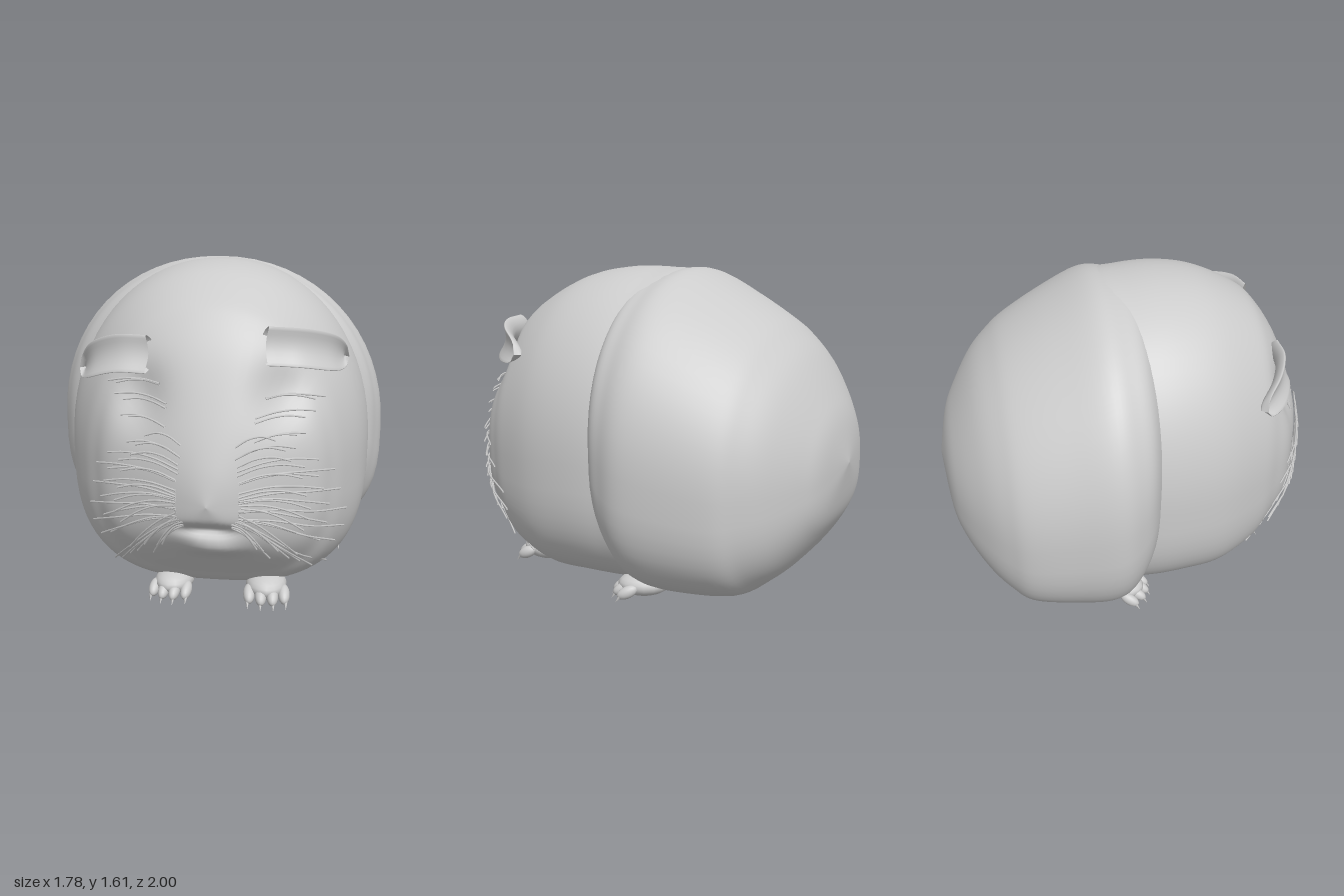
import * as THREE from 'three';

const fur = new THREE.MeshStandardMaterial({ color: 0xcccccc, side: THREE.DoubleSide });
fur.name = 'pale grey';

// Closed skin through rings of points; at(u, angle) gives each point
function skin(name, rings, sides, at) {
  const pos = [], idx = [];
  for (let i = 0; i <= rings; i++)
    for (let j = 0; j < sides; j++) pos.push(...at(i / rings, (j / sides) * Math.PI * 2));
  for (let i = 0; i < rings; i++)
    for (let j = 0; j < sides; j++) {
      const k = (j + 1) % sides;
      const a = i * sides + j, b = i * sides + k;
      idx.push(a, a + sides, b, b, a + sides, b + sides);
    }
  const g = new THREE.BufferGeometry();
  g.setAttribute('position', new THREE.Float32BufferAttribute(pos, 3));
  g.setIndex(idx);
  g.computeVertexNormals();
  const m = new THREE.Mesh(g, fur);
  m.name = name;
  return m;
}

// Smooth interpolation through rows of numbers
function sample(rows, u) {
  const t = u * (rows.length - 1), i = Math.min(Math.floor(t), rows.length - 2), f = t - i;
  const row = (k) => rows[Math.max(0, Math.min(rows.length - 1, k))];
  return rows[i].map((p1, c) => {
    const p0 = row(i - 1)[c], p2 = row(i + 1)[c], p3 = row(i + 2)[c];
    return p1 + 0.5 * f * (p2 - p0 + f * (2 * p0 - 5 * p1 + 4 * p2 - p3 + f * (3 * (p1 - p2) + p3 - p0)));
  });
}

// Cross-section: round above, squarer below
function section([, x0, x1, y0, y1], a) {
  const c = Math.cos(a), s = Math.sin(a), n = s > 0 ? 2.1 : 3;
  const pow = (v) => Math.sign(v) * Math.abs(v) ** (2 / n);
  const mid = y0 + 0.43 * (y1 - y0);
  return [(x0 + x1) / 2 + ((x1 - x0) / 2) * pow(c), mid + (s > 0 ? y1 - mid : mid - y0) * pow(s)];
}

// Rows: z, right x, left x, bottom y, top y
const FRONT = [
  [1.0, 0.1, 0.1, 0.59, 0.59], [0.97, 0.0, 0.21, 0.49, 0.75], [0.9, -0.17, 0.37, 0.38, 0.97],
  [0.8, -0.38, 0.56, 0.27, 1.22], [0.7, -0.48, 0.64, 0.17, 1.38], [0.6, -0.56, 0.7, 0.08, 1.47],
  [0.4, -0.67, 0.78, 0.02, 1.57], [0.2, -0.72, 0.81, 0.02, 1.61], [0.0, -0.73, 0.8, 0.02, 1.61],
  [-0.2, -0.68, 0.74, 0.02, 1.58], [-0.4, -0.5, 0.5, 0.1, 1.4], [-0.55, 0, 0, 0.8, 0.8],
];
const REAR = [
  [0.14, 0, 0, 0.85, 0.85], [0.1, -0.5, 0.55, 0.42, 1.4], [0.02, -0.75, 0.79, 0.25, 1.56],
  [-0.08, -0.85, 0.86, 0.08, 1.6], [-0.2, -0.89, 0.89, 0.015, 1.6], [-0.4, -0.85, 0.86, 0.01, 1.5],
  [-0.6, -0.79, 0.8, 0.03, 1.38], [-0.7, -0.72, 0.73, 0.09, 1.3], [-0.8, -0.61, 0.63, 0.18, 1.19],
  [-0.9, -0.45, 0.47, 0.32, 1.02], [-0.96, -0.28, 0.32, 0.45, 0.88], [-1.0, 0.03, 0.03, 0.68, 0.68],
];
// Soft dents and bumps of the face: x, y, spread x, spread y, depth
const FACE = [
  [-0.24, 1.04, 0.12, 0.14, -0.07], [0.43, 1.07, 0.12, 0.14, -0.07],
  [0.1, 0.46, 0.13, 0.03, -0.05], [0.13, 0.36, 0.12, 0.05, 0.04],
];

function frontBody() {
  return skin('headAndShoulders', 88, 72, (u, a) => {
    const r = sample(FRONT, u), [x, y] = section(r, a);
    let z = r[0];
    if (z > 0.4)
      for (const [fx, fy, sx, sy, d] of FACE)
        z += d * Math.min(1, (z - 0.4) * 5) * Math.exp(-(((x - fx) / sx) ** 2) - ((y - fy) / sy) ** 2);
    return [x, y, z];
  });
}

function rearBody() {
  return skin('haunches', 66, 64, (u, a) => {
    const r = sample(REAR, u);
    return [...section(r, a), r[0]];
  });
}

// Thick leaf that bends back along a curve, with a curled lower edge
function ear(name, side, points) {
  const curve = new THREE.CatmullRomCurve3(points.map((p) => new THREE.Vector3(...p)));
  return skin(name, 20, 20, (u, a) => {
    const p = curve.getPoint(u), c = Math.cos(a), s = Math.sin(a);
    const end = Math.sqrt(Math.max(0, 1 - u ** 6));
    const w = 0.085 * end, t = 0.022 * end * s + 0.04 * c * c - 0.02;
    return [p.x + side * 0.6 * t, p.y + w * c, p.z + 0.8 * t - 0.25 * w * c];
  });
}

function ball(parent, name, p, s, rx = 0) {
  const m = new THREE.Mesh(new THREE.SphereGeometry(1, 16, 12), fur);
  m.name = name;
  m.position.set(...p);
  m.scale.set(...s);
  m.rotation.x = rx;
  parent.add(m);
}

function foot(name, x, z, turn, size) {
  const g = new THREE.Group();
  g.name = name;
  ball(g, 'paw', [0, 0.075, -0.04], [0.095, 0.06, 0.13]);
  for (let i = 0; i < 4; i++) {
    const k = i - 1.5, tz = 0.075 - Math.abs(k) * 0.022;
    ball(g, 'toe', [k * 0.053, 0.055, tz], [0.027, 0.03, 0.055], 0.45);
    const claw = new THREE.Mesh(new THREE.ConeGeometry(0.012, 0.05, 8), fur);
    claw.name = 'claw';
    claw.position.set(k * 0.058, 0.025, tz + 0.045);
    claw.rotation.x = 2.5;
    g.add(claw);
  }
  g.position.set(x, 0, z);
  g.rotation.y = turn;
  g.scale.setScalar(size);
  return g;
}

// Bent hairs laid just above the face; rows: root x, root y, tip x, tip y
function hairs(name, face, rows, copies, drop) {
  const g = new THREE.Group(), ray = new THREE.Raycaster();
  g.name = name;
  const place = (x, y, lift) => {
    ray.set(new THREE.Vector3(x, y, 3), new THREE.Vector3(0, 0, -1));
    const hit = ray.intersectObject(face)[0];
    return new THREE.Vector3(x, y, (hit ? hit.point.z : 0.55) + lift);
  };
  rows.forEach(([x0, y0, x1, y1], r) => {
    for (let c = 0; c < copies; c++) {
      const wob = Math.sin(r * 7.3 + c * 4.1) * 0.02, len = 1 - 0.17 * c;
      const pts = [0, 0.33, 0.67, 1].map((t) => {
        const q = t * len;
        return place(x0 + (x1 - x0) * q,
          y0 + (y1 - y0) * q + drop * Math.sin(Math.PI * t) + wob + c * 0.016, 0.008 + 0.025 * t);
      });
      const m = new THREE.Mesh(new THREE.TubeGeometry(new THREE.CatmullRomCurve3(pts), 10, 0.0045, 5), fur);
      m.name = 'hair';
      g.add(m);
    }
  });
  return g;
}

export function createModel() {
  const model = new THREE.Group();
  model.name = 'rodent';
  const face = frontBody();
  face.updateMatrixWorld();
  model.add(face, rearBody());

  model.add(
    ear('leftEar', 1, [[0.33, 1.27, 0.74], [0.48, 1.26, 0.71], [0.61, 1.23, 0.62], [0.69, 1.19, 0.49]]),
    ear('rightEar', -1, [[-0.2, 1.22, 0.74], [-0.34, 1.22, 0.73], [-0.47, 1.18, 0.67], [-0.56, 1.12, 0.57]]),
  );

  model.add(
    foot('rightFrontFoot', -0.12, 0.64, -0.1, 1),
    foot('leftFrontFoot', 0.34, 0.64, 0.1, 1.05),
    foot('rightHindFoot', -0.54, -0.1, -0.5, 1),
    foot('leftHindFoot', 0.56, -0.1, 0.5, 1),
  );

  // Whiskers fan out from each side of the muzzle
  const fan = [
    [0.12, 0.8, 0.38, 0.84], [0.13, 0.73, 0.48, 0.76], [0.14, 0.68, 0.55, 0.69], [0.14, 0.62, 0.58, 0.6],
    [0.14, 0.58, 0.61, 0.5], [0.14, 0.55, 0.6, 0.41], [0.15, 0.53, 0.56, 0.33], [0.14, 0.51, 0.52, 0.15],
    [0.13, 0.5, 0.4, 0.24], [0.11, 0.48, 0.27, 0.3],
  ];
  const lashes = [[0.2, 0.87, 0.42, 0.9], [0.2, 0.95, 0.46, 0.97], [0.24, 1.03, 0.5, 1.02]];
  for (const [name, s] of [['left', 1], ['right', -1]]) {
    const flip = ([a, b, c, d]) => [0.1 + s * a, b, 0.1 + s * c, d];
    model.add(hairs(name + 'Whiskers', face, fan.map(flip), 3, 0.03));
    model.add(hairs(name + 'Lashes', face, lashes.map(flip).map((r) => r.map((v, i) => (i % 2 && s < 0 ? v + 0.05 : v))), 2, 0.015));
  }
  return model;
}
